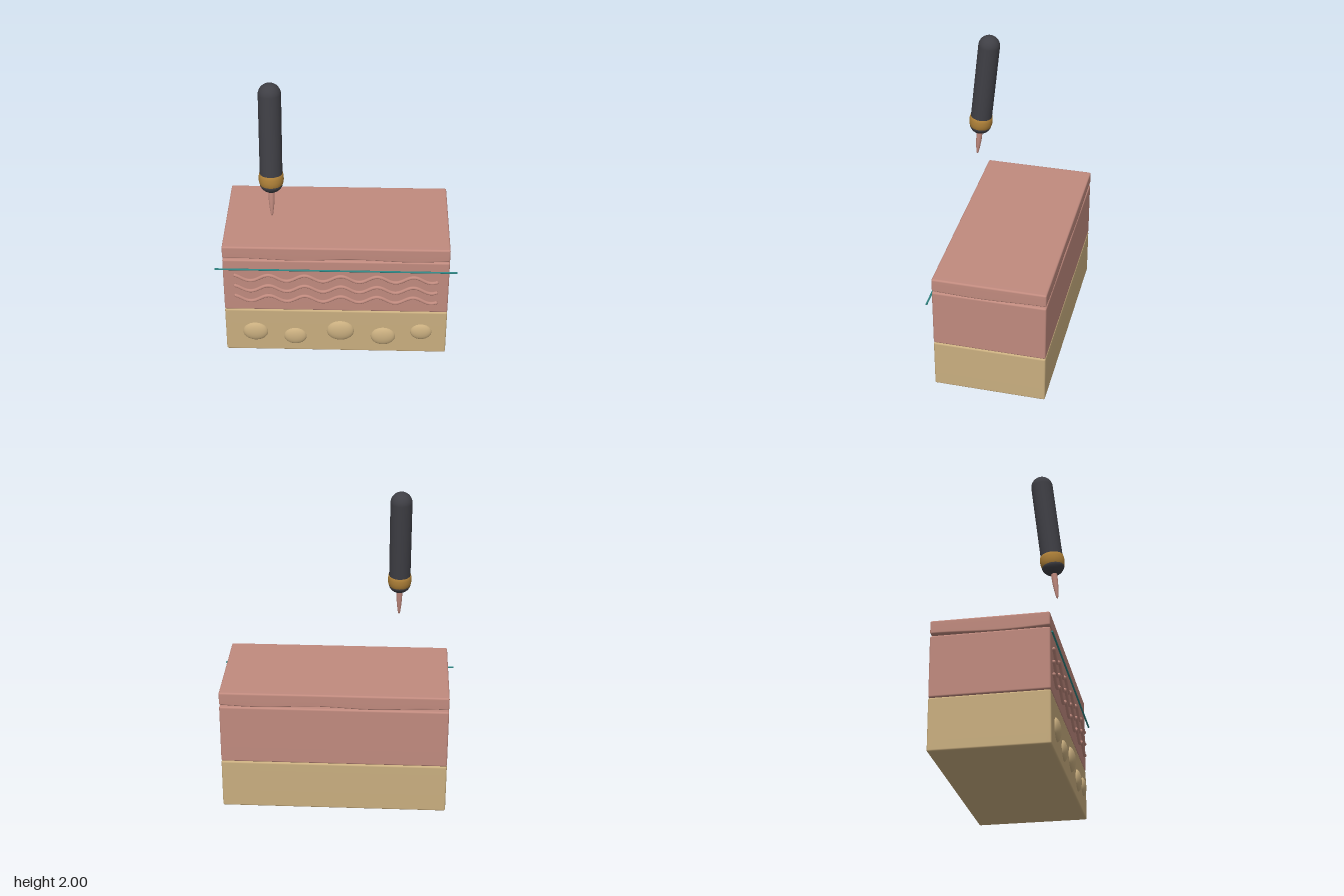
import * as THREE from 'three';
import { mergeVertices } from 'three/addons/utils/BufferGeometryUtils.js';

const mat = (name, color, side = THREE.FrontSide) => {
  const m = new THREE.MeshStandardMaterial({ color, side });
  m.name = name;
  return m;
};

function add(parent, name, geometry, material, x = 0, y = 0, z = 0) {
  const mesh = new THREE.Mesh(geometry, material);
  mesh.name = name;
  mesh.position.set(x, y, z);
  parent.add(mesh);
  return mesh;
}

// Box with rounded edges and subdivided faces; sag(x, z) shifts the lower rim
function softBlock(size, r, sag) {
  const seg = [60, 8, 32], edge = 3;
  let g = new THREE.BoxGeometry(1, 1, 1, ...seg);
  g.deleteAttribute('normal');
  g.deleteAttribute('uv');
  const pos = g.attributes.position;
  for (let i = 0; i < pos.count; i++) {
    const p = [0, 1, 2].map((a) => {
      const n = seg[a], h = size[a] / 2;
      const k = Math.round((pos.getComponent(i, a) + 0.5) * n);
      if (k <= edge) return -h + (r * k) / edge;
      if (k >= n - edge) return h - (r * (n - k)) / edge;
      return -h + r + ((size[a] - 2 * r) * (k - edge)) / (n - 2 * edge);
    });
    const inner = p.map((v, a) => THREE.MathUtils.clamp(v, r - size[a] / 2, size[a] / 2 - r));
    const out = new THREE.Vector3(...p.map((v, a) => v - inner[a])).setLength(r);
    const q = new THREE.Vector3(...inner).add(out);
    if (sag) q.y += sag(q.x, q.z) * THREE.MathUtils.clamp(0.5 - q.y / size[1], 0, 1);
    pos.setXYZ(i, q.x, q.y, q.z);
  }
  g = mergeVertices(g, 1e-5);
  g.computeVertexNormals();
  return g;
}

const lathe = (points) =>
  new THREE.LatheGeometry(points.map(([r, y]) => new THREE.Vector2(r, y)), 40);

// Points of a quarter circle, from angle a to angle b about (0, y)
const arc = (r, y, a, b, n = 10) =>
  Array.from({ length: n + 1 }, (_, i) => {
    const t = a + ((b - a) * i) / n;
    return [Math.max(0, r * Math.cos(t)), y + r * Math.sin(t)];
  });

export function createModel() {
  const model = new THREE.Group();
  model.name = 'tissueBlockWithProbe';

  const pink = mat('tissue pink', 0xc08a7e);
  const tan = mat('fat tan', 0xc9ae7f);
  const dark = mat('handle charcoal', 0x3f3f45);
  const gold = mat('collar gold', 0xae8038);
  const teal = mat('marker teal', 0x2f8583);

  // Stacked layers
  add(model, 'fatLayer', softBlock([1.48, 0.34, 0.74], 0.012), tan, 0, 0.172, -0.02);
  add(model, 'middleLayer', softBlock([1.48, 0.405, 0.74], 0.012), pink, 0, 0.546, -0.02);
  const ripple = (x, z) => 0.007 * Math.sin(8.5 * x + 0.6) + 0.007 * Math.cos(7 * z + 2.6);
  add(model, 'topLayer', softBlock([1.48, 0.099, 0.74], 0.012, ripple), pink, 0, 0.8, -0.02);

  // Fat lobules bulging from the front: x, y, half width, half height
  const lobules = [
    [-0.54, 0.16, 0.085, 0.073],
    [-0.273, 0.126, 0.077, 0.067],
    [0.03, 0.178, 0.093, 0.08],
    [0.316, 0.136, 0.083, 0.072],
    [0.57, 0.178, 0.073, 0.063],
  ];
  for (const [x, y, w, h] of lobules) {
    add(model, 'fatLobule', new THREE.SphereGeometry(1, 32, 20), tan, x, y, 0.345)
      .scale.set(w, h, h * 0.44);
  }

  // Wavy fibres on the middle layer
  for (const y of [0.613, 0.529, 0.447]) {
    const points = Array.from({ length: 67 }, (_, i) => {
      const x = -0.66 + 0.02 * i;
      return new THREE.Vector3(x, y + 0.022 * Math.cos((x - 0.034) * 26.4), 0.357);
    });
    const path = new THREE.CatmullRomCurve3(points);
    add(model, 'wavyFibre', new THREE.TubeGeometry(path, 160, 0.012, 10), pink);
    for (const end of [points[0], points[66]]) {
      add(model, 'fibreEnd', new THREE.SphereGeometry(0.012, 12, 8), pink, ...end);
    }
  }

  // Straight depth marker in front of the block
  add(model, 'depthMarker', new THREE.CylinderGeometry(0.006, 0.006, 1.58, 12), teal, 0, 0.688, 0.37)
    .rotation.z = Math.PI / 2;

  // Tilted probe, built upward from its tip
  const probe = new THREE.Group();
  probe.name = 'probe';
  add(probe, 'probeTip', lathe([
    [0, 0], [0.005, 0.004], [0.009, 0.02], [0.015, 0.07], [0.019, 0.12], [0.02, 0.19],
  ]), pink);
  add(probe, 'probeHandle', lathe([
    ...arc(0.076, 0.247, -Math.PI / 2, -0.35),
    [0.071, 0.24], ...arc(0.071, 0.833, 0, Math.PI / 2),
  ]), dark);
  add(probe, 'probeCollar', lathe([
    [0.062, 0.216], [0.067, 0.218], [0.073, 0.23], [0.077, 0.245], [0.079, 0.262],
    [0.078, 0.282], [0.075, 0.301], [0.068, 0.302],
  ]), gold);
  probe.position.set(-0.405, 1.1, 0.346);
  probe.rotation.x = -0.11;
  model.add(probe);

  return model;
}
